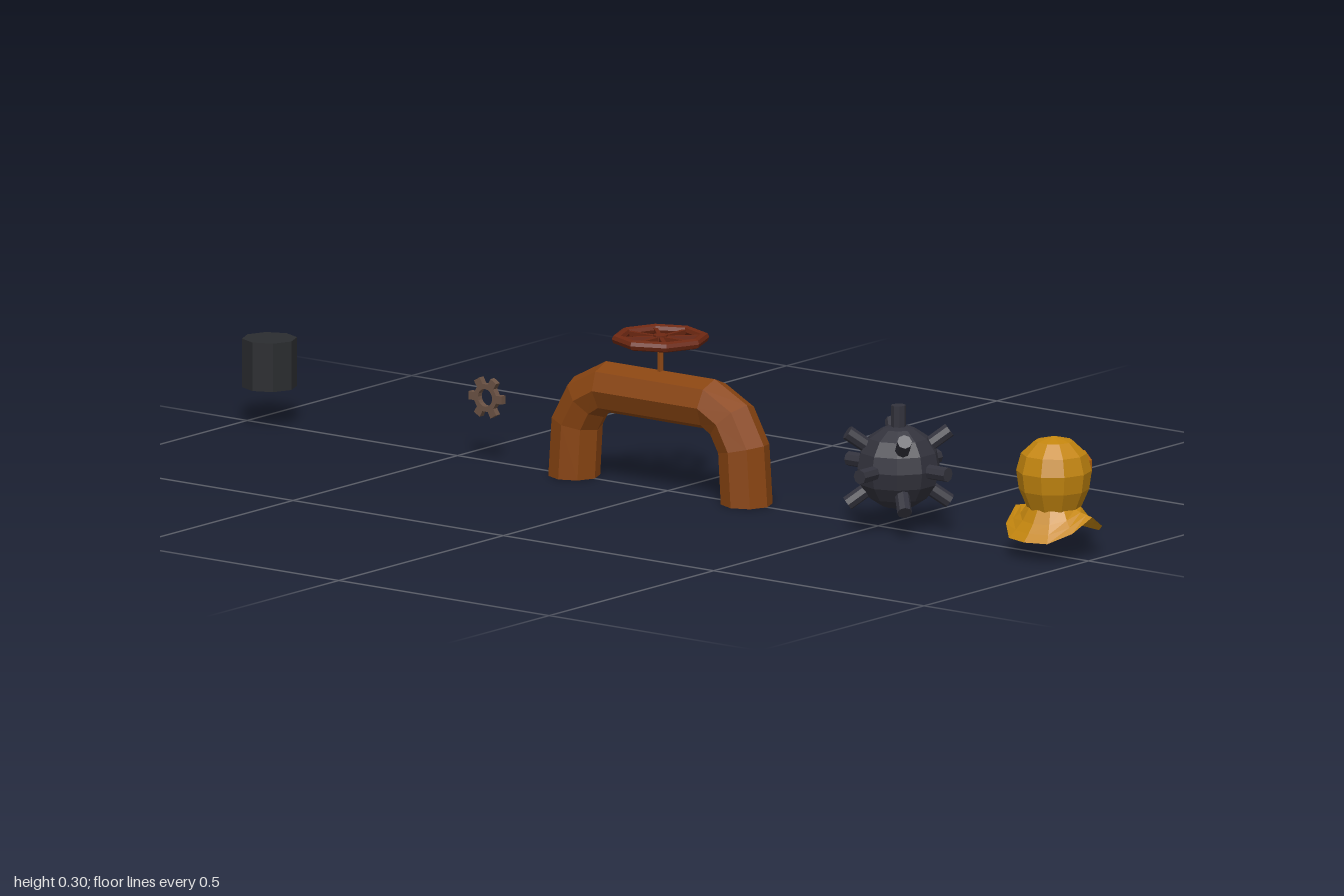
import * as THREE from 'three';

const mat = (color, side = THREE.FrontSide) =>
  new THREE.MeshStandardMaterial({ color, flatShading: true, side });

const brass = mat(0xc4860f, THREE.DoubleSide), copper = mat(0xb8650f), glass = mat(0x6f9496);
const iron = mat(0x33333d), rust = mat(0x8a4512), red = mat(0x6e2812);
const tin = mat(0x6b5244), tar = mat(0x2b2d30);
const UP = new THREE.Vector3(0, 1, 0);

function add(parent, name, geometry, material, x = 0, y = 0, z = 0) {
  const mesh = new THREE.Mesh(geometry, material);
  mesh.name = name;
  mesh.position.set(x, y, z);
  parent.add(mesh);
  return mesh;
}

function group(parent, name, x, y, z) {
  const g = new THREE.Group();
  g.name = name;
  g.position.set(x, y, z);
  parent.add(g);
  return g;
}

// Eight-sided pipe following points [z, y], mitred at each bend and capped at the ends
function pipeGeometry(path, radius, sides) {
  const pos = [], index = [];
  const pts = path.map(([z, y]) => new THREE.Vector3(0, y, z));
  pts.forEach((p, i) => {
    const a = pts[Math.max(i - 1, 0)], b = pts[Math.min(i + 1, pts.length - 1)];
    const t = b.clone().sub(a).normalize();
    if (i === 0 || i === pts.length - 1) t.set(0, i === 0 ? 1 : -1, 0);
    const n = new THREE.Vector3(0, t.z, -t.y);
    for (let j = 0; j < sides; j++) {
      const ang = (j / sides) * Math.PI * 2, s = Math.sin(ang) * radius;
      pos.push(Math.cos(ang) * radius, p.y + n.y * s, p.z + n.z * s);
    }
  });
  for (let i = 0; i < pts.length - 1; i++)
    for (let j = 0; j < sides; j++) {
      const a = i * sides + j, b = i * sides + ((j + 1) % sides);
      index.push(a, b, a + sides, b, b + sides, a + sides);
    }
  const last = (pts.length - 1) * sides;
  for (let j = 1; j < sides - 1; j++)
    index.push(0, j + 1, j, last, last + j, last + j + 1);
  const g = new THREE.BufferGeometry();
  g.setAttribute('position', new THREE.Float32BufferAttribute(pos, 3));
  g.setIndex(index);
  g.computeVertexNormals();
  return g;
}

// Flared collar that drops over the shoulders and rises at front and back
function collarGeometry() {
  const g = new THREE.CylinderGeometry(1, 1, 1, 12, 3, true);
  const p = g.attributes.position;
  for (let i = 0; i < p.count; i++) {
    const x = p.getX(i), z = p.getZ(i), t = 0.5 - p.getY(i);
    const rim = 0.037 + 0.045 * Math.pow(Math.abs(z), 6);
    const r = 0.05 + 0.041 * t;
    p.setXYZ(i, x * r, THREE.MathUtils.lerp(0.092, rim, Math.pow(t, 0.75)), z * r);
  }
  g.computeVertexNormals();
  return g;
}

function buildHelmet(root) {
  const helmet = group(root, 'divingHelmet', 0.01, 0, 0.91);
  const profile = [[0.05, 0.088], [0.066, 0.125], [0.071, 0.16], [0.062, 0.193], [0.036, 0.217], [0, 0.226]]
    .map(([r, y]) => new THREE.Vector2(r, y));
  add(helmet, 'helmetDome', new THREE.LatheGeometry(profile, 10), brass);
  add(helmet, 'helmetCollar', collarGeometry(), brass);
  // Round window on the left side
  const frame = add(helmet, 'windowFrame', new THREE.CylinderGeometry(0.031, 0.035, 0.026, 8), copper, 0.066, 0.158, 0);
  const pane = add(helmet, 'windowGlass', new THREE.CylinderGeometry(0.026, 0.026, 0.004, 8), glass, 0.0785, 0.158, 0);
  for (const m of [frame, pane]) m.rotation.set(Math.PI / 8, 0, -Math.PI / 2);
}

function buildMine(root) {
  const mine = group(root, 'navalMine', 0, 0.12, 0.548);
  add(mine, 'mineBody', new THREE.SphereGeometry(0.08, 10, 8), iron);
  // Horns on every axis but the bottom, and on the eight cube corners
  const dirs = [[1, 0, 0], [-1, 0, 0], [0, 0, 1], [0, 0, -1], [0, 1, 0]];
  for (const x of [-1, 1]) for (const y of [-1, 1]) for (const z of [-1, 1]) dirs.push([x, y, z]);
  const horn = new THREE.CylinderGeometry(0.014, 0.014, 0.05, 8);
  for (const d of dirs) {
    const v = new THREE.Vector3(...d).normalize();
    const m = add(mine, 'mineHorn', horn, iron);
    m.position.copy(v).multiplyScalar(0.093);
    m.quaternion.setFromUnitVectors(UP, v);
  }
}

function buildPipe(root) {
  const pipe = group(root, 'valvePipe', 0, 0, -0.0175);
  const half = [[0.205, 0], [0.198, 0.105], [0.17, 0.155], [0.125, 0.18]];
  const path = [...half, ...half.slice().reverse().map(([z, y]) => [-z, y])];
  add(pipe, 'pipe', pipeGeometry(path, 0.049, 8), rust);
  // Hand wheel
  const wheel = group(pipe, 'handWheel', 0, 0.29, 0);
  add(wheel, 'wheelStem', new THREE.CylinderGeometry(0.006, 0.006, 0.08, 6), rust, 0, -0.04, 0);
  add(wheel, 'wheelHub', new THREE.CylinderGeometry(0.014, 0.014, 0.014, 8), red);
  add(wheel, 'wheelRim', new THREE.TorusGeometry(0.082, 0.01, 8, 8), red).rotation.x = Math.PI / 2;
  for (let i = 0; i < 8; i++) {
    const a = (i / 8) * Math.PI * 2;
    const spoke = add(wheel, 'wheelSpoke', new THREE.BoxGeometry(0.078, 0.008, 0.008), red,
      Math.cos(a) * 0.041, 0, -Math.sin(a) * 0.041);
    spoke.rotation.y = a;
  }
}

function buildGear(root) {
  const shape = new THREE.Shape(), teeth = 6, pitch = (Math.PI * 2) / teeth;
  for (let i = 0; i < teeth; i++)
    for (const [r, f] of [[0.027, -0.27], [0.04, -0.19], [0.04, 0.19], [0.027, 0.27]]) {
      const a = (i + f) * pitch, x = Math.cos(a) * r, y = Math.sin(a) * r;
      if (i === 0 && f === -0.27) shape.moveTo(x, y);
      else shape.lineTo(x, y);
    }
  shape.closePath();
  shape.holes.push(new THREE.Path().absarc(0, 0, 0.017, 0, Math.PI * 2, true));
  const g = new THREE.ExtrudeGeometry(shape, { depth: 0.012, bevelEnabled: false, curveSegments: 8 });
  g.translate(0, 0, -0.006);
  add(root, 'gear', g, tin, 0, 0.121, -0.43).rotation.y = Math.PI / 2;
}

export function createModel() {
  const root = new THREE.Group();
  root.name = 'underwaterProps';
  buildHelmet(root);
  buildMine(root);
  buildPipe(root);
  buildGear(root);
  add(root, 'barrel', new THREE.CylinderGeometry(0.052, 0.052, 0.093, 8), tar, 0, 0.119, -0.947);
  return root;
}
